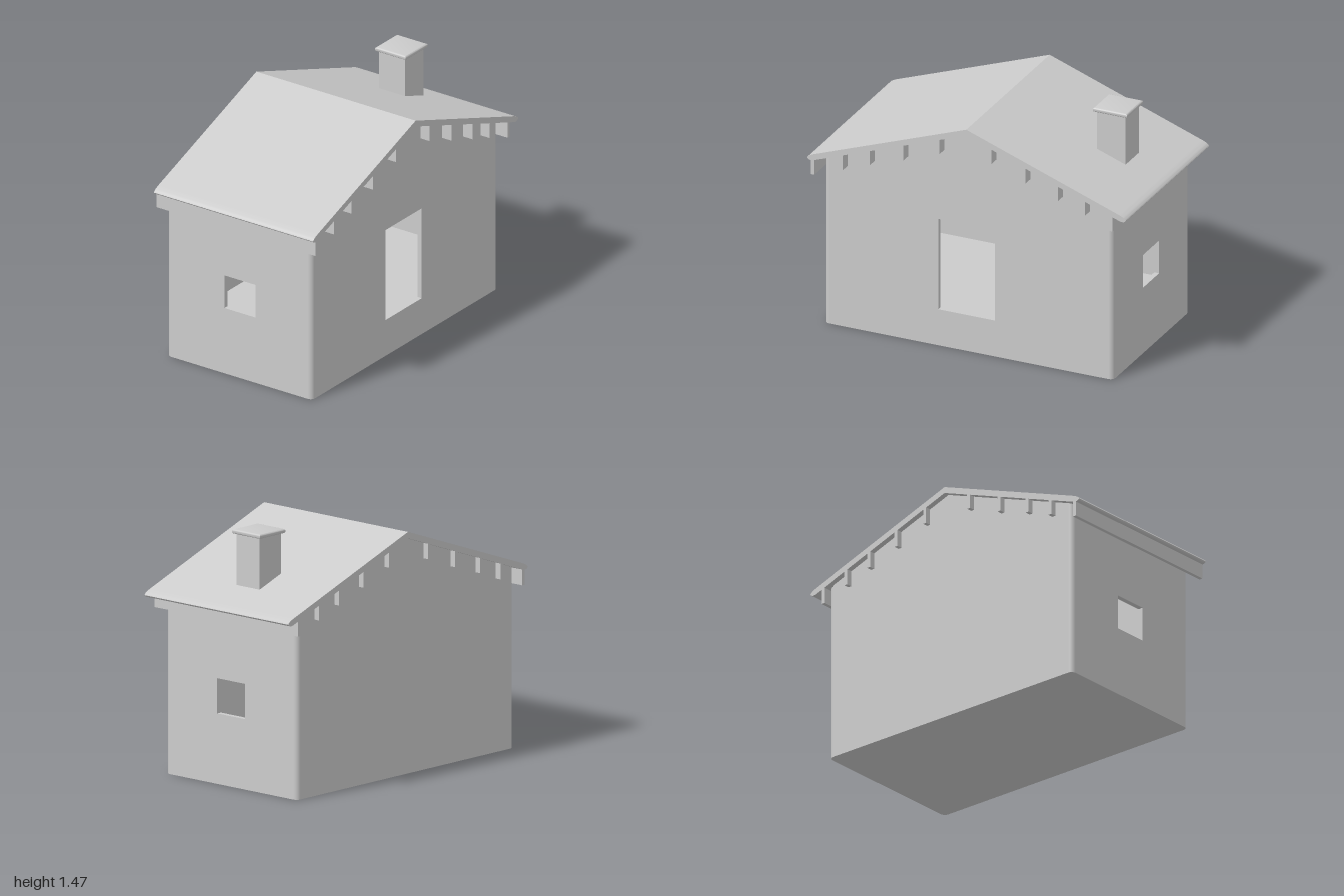
import * as THREE from 'three';
import { toCreasedNormals } from 'three/addons/utils/BufferGeometryUtils.js';

const material = new THREE.MeshStandardMaterial({ color: 0xcccccc });

// Main dimensions
const X0 = -0.92, X1 = 0.89, Z0 = -0.52, Z1 = 0.49;
const T = 0.03; // wall thickness and corner radius
const PITCH = 0.359, RIDGE = 1.38, ROOF_HALF_DEPTH = 0.555;
const underside = (x) => RIDGE - PITCH * Math.abs(x);

function add(parent, name, geometry, x = 0, y = 0, z = 0) {
  const mesh = new THREE.Mesh(geometry, material);
  mesh.name = name;
  mesh.position.set(x, y, z);
  parent.add(mesh);
  return mesh;
}

function polygon(points) {
  return new THREE.Shape(points.map(([x, y]) => new THREE.Vector2(x, y)));
}

function rect(a, b, c, d) {
  return polygon([[a, c], [b, c], [b, d], [a, d]]);
}

function box(parent, name, x0, x1, y0, y1, z0, z1) {
  return add(parent, name, new THREE.BoxGeometry(x1 - x0, y1 - y0, z1 - z0),
    (x0 + x1) / 2, (y0 + y1) / 2, (z0 + z1) / 2);
}

function extrude(shape, depth) {
  return new THREE.ExtrudeGeometry(shape, { depth, bevelEnabled: false, curveSegments: 8 });
}

function gable() {
  const a = X0 + T, b = X1 - T, lift = 0.01;
  return polygon([[a, 0], [b, 0], [b, underside(b) + lift], [0, RIDGE + lift], [a, underside(a) + lift]]);
}

function buildWalls() {
  const walls = new THREE.Group();
  walls.name = 'walls';

  // Gable walls, the front one with a doorway
  const front = gable();
  front.holes.push(rect(-0.205, 0.15, 0.225, 0.79));
  add(walls, 'frontWall', extrude(front, T), 0, 0, Z1 - T);
  add(walls, 'backWall', extrude(gable(), T), 0, 0, Z0);

  // Side walls, each with a window opening
  for (const [name, x] of [['leftWall', X1], ['rightWall', X0 + T]]) {
    const side = rect(Z0 + T, Z1 - T, 0, 1.07);
    side.holes.push(rect(-0.12, 0.095, 0.41, 0.615));
    add(walls, name, extrude(side, T).rotateY(-Math.PI / 2), x, 0, 0);
  }

  // Rounded vertical corners
  const corners = [[X1 - T, Z1 - T, 0], [X1 - T, Z0 + T, 1], [X0 + T, Z0 + T, 2], [X0 + T, Z1 - T, 3]];
  for (const [x, z, quarter] of corners) {
    const corner = new THREE.CylinderGeometry(T, T, 1.065, 8, 1, false, quarter * Math.PI / 2, Math.PI / 2);
    add(walls, 'wallCorner', corner, x, 1.065 / 2, z);
  }

  // Raised floor
  box(walls, 'floor', X0 + T, X1 - T, 0, 0.2, Z0 + T, Z1 - T);
  return walls;
}

function buildRoof() {
  const roof = new THREE.Group();
  roof.name = 'roof';

  // Bent slab with rounded eaves
  const s = new THREE.Shape();
  s.moveTo(0, 1.417);
  s.lineTo(-0.95, 1.076);
  s.quadraticCurveTo(-0.995, 1.06, -1, 1.045);
  s.quadraticCurveTo(-0.99, 1.027, -0.96, 1.035);
  s.lineTo(0, RIDGE);
  s.lineTo(0.96, 1.035);
  s.quadraticCurveTo(0.99, 1.027, 1, 1.045);
  s.quadraticCurveTo(0.995, 1.06, 0.95, 1.076);
  s.closePath();
  add(roof, 'roofSlab', toCreasedNormals(extrude(s, ROOF_HALF_DEPTH * 2), 0.5), 0, 0, -ROOF_HALF_DEPTH);

  // Purlins running the length of the roof: [centre x, bottom y]
  const purlins = [
    [-0.965, 0.945], [-0.783, 1.01], [-0.614, 1.075], [-0.405, 1.145], [-0.179, 1.23],
    [0.148, 1.235], [0.361, 1.155], [0.564, 1.085], [0.733, 1.027], [0.906, 0.962],
  ];
  for (const [x, y] of purlins) {
    box(roof, 'purlin', x - 0.011, x + 0.011, y, underside(x) + 0.01, -ROOF_HALF_DEPTH, ROOF_HALF_DEPTH);
  }
  return roof;
}

function buildChimney() {
  const chimney = new THREE.Group();
  chimney.name = 'chimney';
  const x = 0.676, z = -0.028, r = 0.09;
  box(chimney, 'chimneyStack', x - r, x + r, 1.13, 1.445, z - r, z + r);

  // Bevelled cap
  const cap = new THREE.ExtrudeGeometry(rect(-0.097, 0.097, -0.097, 0.097), {
    depth: 0.006, bevelThickness: 0.01, bevelSize: 0.01, bevelSegments: 3,
  }).rotateX(-Math.PI / 2);
  add(chimney, 'chimneyCap', toCreasedNormals(cap, 0.7), x, 1.45, z);
  return chimney;
}

export function createModel() {
  const house = new THREE.Group();
  house.name = 'house';
  house.add(buildWalls(), buildRoof(), buildChimney());
  return house;
}
